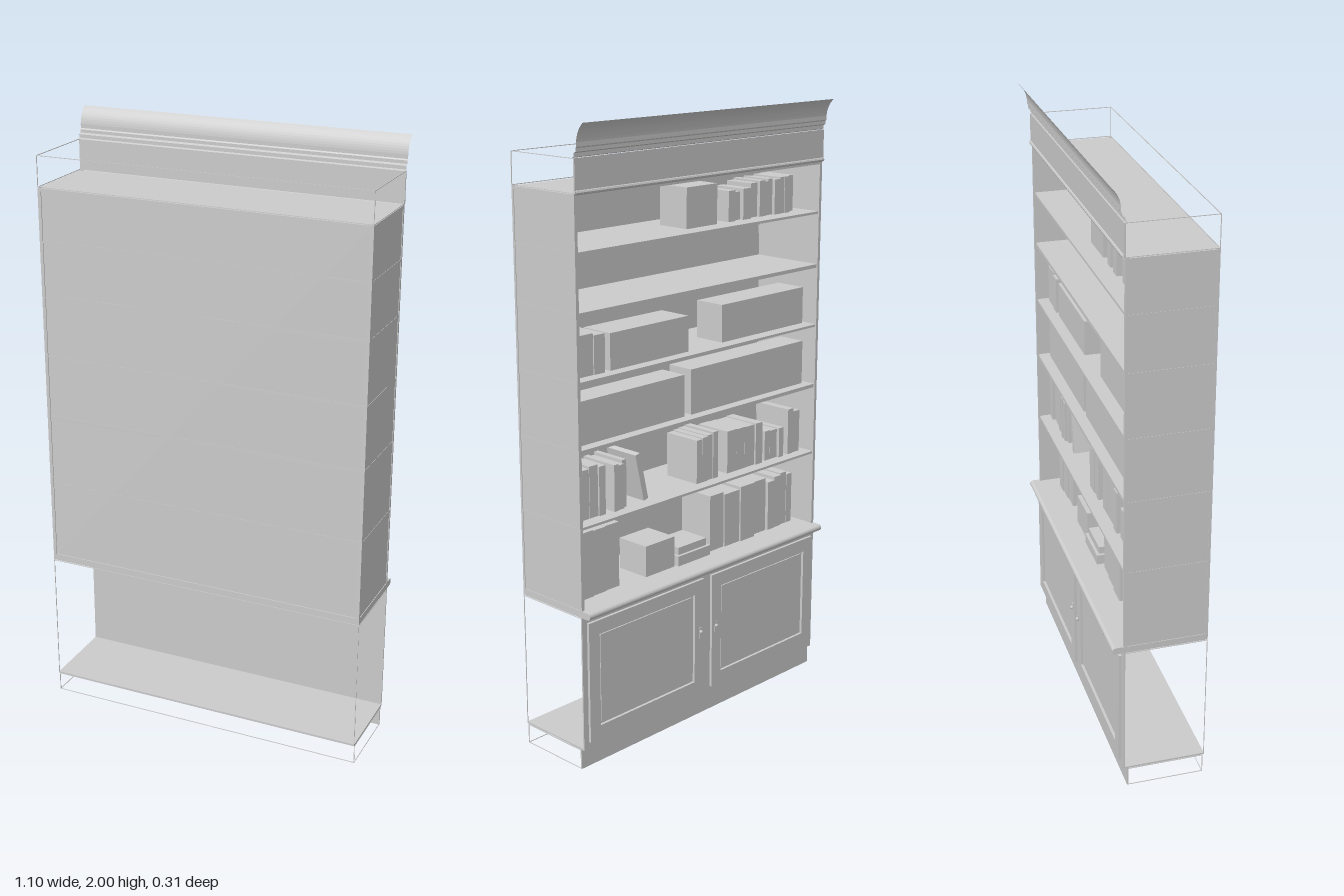
import * as THREE from 'three';

const W = 0.55, BACK = 0.154, FACE = -0.117;

export function createModel() {
  const root = new THREE.Group();
  const mat = new THREE.MeshStandardMaterial({ color: 0xcccccc, side: THREE.DoubleSide });

  function add(name, geo, parent = root) {
    const mesh = new THREE.Mesh(geo, mat);
    mesh.name = name;
    parent.add(mesh);
    return mesh;
  }
  // Box given by its minimum and maximum on each axis
  function box(name, x0, x1, y0, y1, z0, z1, parent = root) {
    const mesh = add(name, new THREE.BoxGeometry(x1 - x0, y1 - y0, z1 - z0), parent);
    mesh.position.set((x0 + x1) / 2, (y0 + y1) / 2, (z0 + z1) / 2);
    return mesh;
  }
  // Profile of [z, y] points swept straight along x
  function molding(name, profile, half) {
    const pos = [], idx = [];
    profile.forEach(([z, y], i) => {
      pos.push(-half, y, z, half, y, z);
      if (i) idx.push(2 * i - 2, 2 * i - 1, 2 * i, 2 * i - 1, 2 * i + 1, 2 * i);
    });
    const geo = new THREE.BufferGeometry();
    geo.setAttribute('position', new THREE.Float32BufferAttribute(pos, 3));
    geo.setIndex(idx);
    const flat = geo.toNonIndexed();
    flat.computeVertexNormals();
    return add(name, flat);
  }
  // Thin edging that outlines an open carcass
  function edging(name, y0, y1, z0, z1) {
    const g = new THREE.Group(), t = 0.002;
    g.name = name;
    root.add(g);
    for (const s of [-1, 1]) {
      const a = s > 0 ? W - t : -W, b = a + t;
      box('cornerEdge', a, b, y0, y1, z1 - t, z1, g);
      for (const y of [y0, y1 - t]) box('sideEdge', a, b, y, y + t, z0, z1, g);
    }
    for (const y of [y0, y1 - t]) box('rearEdge', -W, W, y, y + t, z1 - t, z1, g);
  }

  // Plinth and lower cabinet, open at the sides and rear
  box('plinthBoard', -W, W, 0, 0.067, -0.104, -0.099);
  edging('plinthEdging', 0, 0.065, -0.1, 0.15);
  box('cabinetFloor', -W, W, 0.067, 0.073, FACE, BACK);
  box('cabinetFront', -W, W, 0.07, 0.515, FACE, FACE + 0.005);
  edging('cabinetEdging', 0.07, 0.512, FACE, BACK);

  // Two framed doors with knobs
  for (const s of [-1, 1]) {
    const door = new THREE.Group();
    door.name = s > 0 ? 'leftDoor' : 'rightDoor';
    door.position.x = s * 0.275;
    root.add(door);
    const rect = (path, w, y0, y1) => {
      path.moveTo(-w, y0); path.lineTo(w, y0); path.lineTo(w, y1); path.lineTo(-w, y1); path.closePath();
      return path;
    };
    const frame = rect(new THREE.Shape(), 0.256, 0.092, 0.492);
    frame.holes.push(rect(new THREE.Path(), 0.212, 0.137, 0.447));
    const geo = new THREE.ExtrudeGeometry(frame, { depth: 0.009, bevelEnabled: false });
    add('doorFrame', geo, door).position.z = -0.127;
    box('doorPanel', -0.204, 0.204, 0.145, 0.439, -0.121, -0.116, door);
    box('keyPlate', -s * 0.238 - 0.004, -s * 0.238 + 0.004, 0.285, 0.325, -0.129, -0.126, door);
    const knob = add('knob', new THREE.SphereGeometry(0.006, 12, 8), door);
    knob.position.set(-s * 0.238, 0.31, -0.131);
  }

  // Countertop with a rounded front edge
  const top = new THREE.Shape();
  top.moveTo(-BACK, 0.514);
  top.lineTo(0.142, 0.514);
  top.absarc(0.142, 0.525, 0.011, -Math.PI / 2, Math.PI / 2, false);
  top.lineTo(-BACK, 0.536);
  const topGeo = new THREE.ExtrudeGeometry(top, { depth: 2 * W, bevelEnabled: false });
  topGeo.rotateY(Math.PI / 2);
  topGeo.translate(-W, 0, 0);
  add('countertop', topGeo);

  // Upper case: rear, sides, stiles and shelves
  box('rearPanel', -0.54, 0.54, 0.535, 1.795, 0.147, 0.151);
  for (const s of [-1, 1]) {
    const a = s > 0 ? 0.541 : -0.548, b = a + 0.007;
    box('sidePanel', a, b, 0.535, 1.795, -0.112, 0.15);
    const c = s > 0 ? 0.539 : -W, d = c + 0.011;
    box('frontStile', c, d, 0.535, 1.8, FACE, -0.108);
    box('rearStile', c, d, 0.535, 1.8, 0.146, BACK);
  }
  const levels = [0.796, 1.035, 1.245, 1.449, 1.628];
  levels.forEach((y, i) => {
    const t = i % 2 ? 0.006 : 0.004;
    box('shelf', -0.549, 0.549, y - t, y + t, -0.113, 0.152);
  });
  box('casePanelTop', -W, W, 1.788, 1.798, FACE, BACK);

  // Fascia and crown
  box('fascia', -W, W, 1.8, 1.9, -0.121, -0.116);
  edging('fasciaEdging', 1.8, 1.9, FACE, BACK);
  molding('fasciaBead', [[-0.117, 1.795], [-0.124, 1.798], [-0.126, 1.803], [-0.124, 1.808], [-0.117, 1.811]], W);
  const cove = new THREE.QuadraticBezierCurve(new THREE.Vector2(-0.13, 1.945), new THREE.Vector2(-0.133, 1.978), new THREE.Vector2(-0.158, 2));
  const crown = [[-0.11, 1.9], [-0.118, 1.903], [-0.118, 1.914], [-0.127, 1.918], [-0.127, 1.928], [-0.13, 1.932]];
  molding('crown', crown.concat(cove.getPoints(8).map(p => [p.x, p.y])), W);

  // Books: runs of [left end x, count, thickness, height] standing on a shelf
  let seed = 7;
  const rand = () => (seed = (seed * 16807) % 2147483647) / 2147483647;
  function books(y, runs, z0, z1) {
    for (const [x, count, thick, height] of runs) {
      let at = x;
      for (let i = 0; i < count; i++) {
        const w = thick * (0.75 + 0.5 * rand());
        const h = height * (0.9 + 0.1 * rand());
        box('book', at - w + 0.001, at, y, y + h, z0 + 0.015 * rand(), z1);
        at -= w;
      }
    }
  }
  books(0.536, [[0.49, 3, 0.065, 0.22], [-0.09, 4, 0.065, 0.2], [-0.38, 4, 0.03, 0.19]], -0.06, 0.08);
  books(0.8, [[0.53, 4, 0.035, 0.17], [0.37, 3, 0.02, 0.16], [0.0, 4, 0.028, 0.16], [-0.15, 4, 0.04, 0.15],
    [-0.34, 3, 0.03, 0.11], [-0.45, 2, 0.035, 0.16]], -0.08, 0.06);
  books(1.041, [[0.52, 1, 0.44, 0.15], [0.03, 1, 0.46, 0.15]], -0.09, 0.02);
  books(1.25, [[0.52, 2, 0.06, 0.13], [0.38, 1, 0.45, 0.12], [-0.12, 1, 0.36, 0.13]], -0.08, 0.04);
  books(1.633, [[0.03, 1, 0.16, 0.13], [-0.16, 3, 0.035, 0.1], [-0.28, 8, 0.026, 0.12]], -0.06, 0.06);

  // Leaning book and a low pile of boxes
  const lean = box('leaningBook', 0.235, 0.255, 0.802, 0.962, -0.07, 0.06);
  lean.rotation.z = -0.22;
  box('storageBox', 0.09, 0.22, 0.536, 0.64, -0.06, 0.06);
  box('flatBook', -0.07, 0.08, 0.536, 0.57, -0.07, 0.06);
  box('flatBook', -0.06, 0.07, 0.57, 0.595, -0.06, 0.05);

  return root;
}
